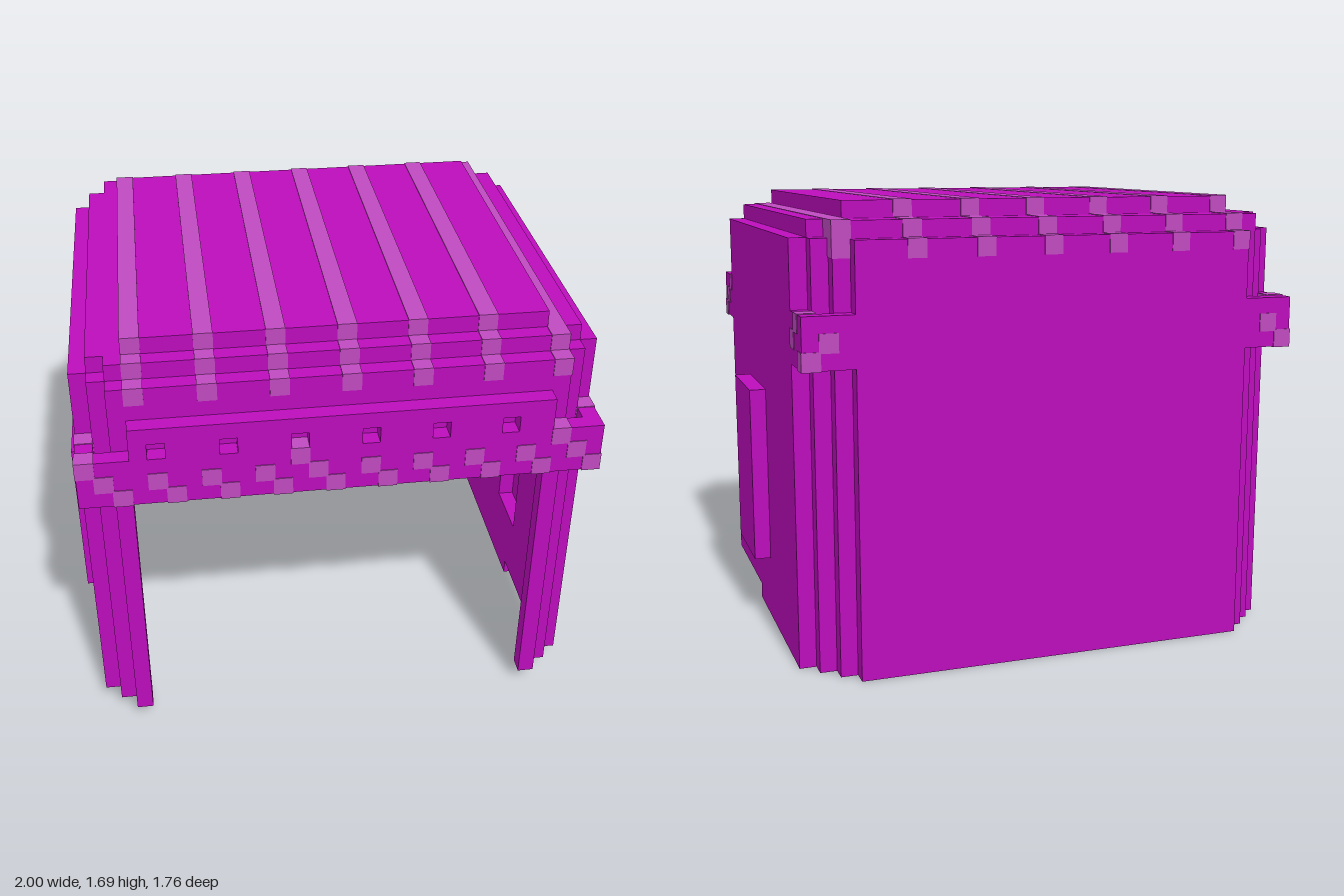
import * as THREE from 'three';
import { mergeGeometries } from 'three/addons/utils/BufferGeometryUtils.js';

const U = 1 / 16; // the block grid

// Box from its limits, in grid units, optionally grown a little
function block(x0, x1, y0, y1, z0, z1, grow = 0) {
  const g = new THREE.BoxGeometry((x1 - x0) * U + grow, (y1 - y0) * U + grow, (z1 - z0) * U + grow);
  g.translate((x0 + x1) * U / 2, (y0 + y1) * U / 2, (z0 + z1) * U / 2);
  return g;
}

export function createModel() {
  const model = new THREE.Group();
  const magenta = new THREE.MeshStandardMaterial({ color: 0xbb0dbb });
  magenta.name = 'magenta';
  const pale = new THREE.MeshStandardMaterial({ color: 0xc04ac0 });
  pale.name = 'paleMagenta';

  const add = (name, geometries, material = magenta) => {
    const mesh = new THREE.Mesh(mergeGeometries(geometries), material);
    mesh.name = name;
    model.add(mesh);
  };
  // Same block on both sides
  const both = (x0, x1, ...rest) => [block(x0, x1, ...rest), block(-x1, -x0, ...rest)];

  // Side walls: stepped lower edge, with a recess opening into the side panel
  const wall = new THREE.Shape(
    [[-11, 0], [2, 0], [2, 1], [11, 1], [11, 25], [-11, 25]].map(([z, y]) => new THREE.Vector2(z * U, y * U)));
  wall.holes.push(new THREE.Path(
    [[-1, 5], [-1, 14], [3, 14], [3, 5]].map(([z, y]) => new THREE.Vector2(z * U, y * U))));
  const sideWall = (x) => {
    const g = new THREE.ExtrudeGeometry(wall, { depth: U, bevelEnabled: false });
    return g.rotateY(-Math.PI / 2).translate(x, 0, 0);
  };
  add('sideWalls', [sideWall(15 * U), sideWall(-14 * U)]);
  add('sidePanels', both(15, 16, 4, 15, -2, 4));

  // Back and upper front walls
  add('backWall', [block(-12, 12, 0, 25, -14, -13)]);
  add('frontWall', [block(-12, 12, 18, 25, 12, 13)]);

  // Stepped corner posts
  add('frontPosts', [...both(13, 14, 1, 25, 11, 12), ...both(12, 13, 1, 25, 12, 13)]);
  add('backPosts', [...both(13, 14, 0, 25, -12, -11), ...both(12, 13, 0, 25, -13, -12)]);

  // Band across the front, wrapped round all four corners
  add('band', [
    block(-15, 15, 18, 21, 13, 14),
    ...both(14, 15, 18, 21, 11, 13),
    ...both(12, 15, 18, 21, -14, -13),
    ...both(14, 15, 18, 21, -13, -11),
  ]);

  // Ledge over the band, with a row of small square openings
  const ledge = [block(-12, 12, 22, 23, 13, 14)];
  let start = -12;
  for (let x = -11; x <= 9; x += 4) {
    ledge.push(block(start, x, 21, 22, 13, 14));
    start = x + 1;
  }
  ledge.push(block(start, 12, 21, 22, 13, 14));
  add('ledge', ledge);

  // Roof in two steps
  add('roofRim', [
    block(-13, 13, 25, 26, 11, 12),
    block(-13, 13, 25, 26, -13, -11),
    ...both(12, 14, 25, 26, -11, 11),
  ]);
  add('roofTop', [block(-12, 12, 26, 27, -11, 11)]);

  // Roof stripes, running over every step
  const G = 0.006;
  const stripes = [];
  for (let x = -12; x <= 12; x += 4) {
    const cell = (...r) => stripes.push(block(x, x + 1, ...r, G));
    cell(24, 25, 12, 13);
    if (x < 12) {
      cell(24, 25, -14, -13);
      cell(25, 26, 11, 12);
      cell(25, 26, -13, -11);
      cell(26, 27, -11, 11);
    } else {
      cell(24, 25, -13, -12);
      cell(25, 26, -13, 12);
    }
  }
  add('roofStripes', stripes, pale);

  // Diagonal spots on the band
  const spots = [];
  const spot = (x, y, z) => spots.push(block(x, x + 1, y, y + 1, z, z + 1, G));
  for (let x = -14; x <= 13; x += 3) {
    spot(x, 19, 13);
    spot(x + 1, 18, 13);
  }
  [-15, -3, 12].forEach((x) => spot(x, 20, 13));
  for (const x of [-15, 14]) {
    spot(x, 19, 12);
    spot(x, 20, 11);
    spot(x, 19, -12);
    spot(x, 20, -13);
    spot(x, 18, -14);
  }
  for (const x of [-14, 13]) spot(x, 19, -14);
  add('bandSpots', spots, pale);

  return model;
}
